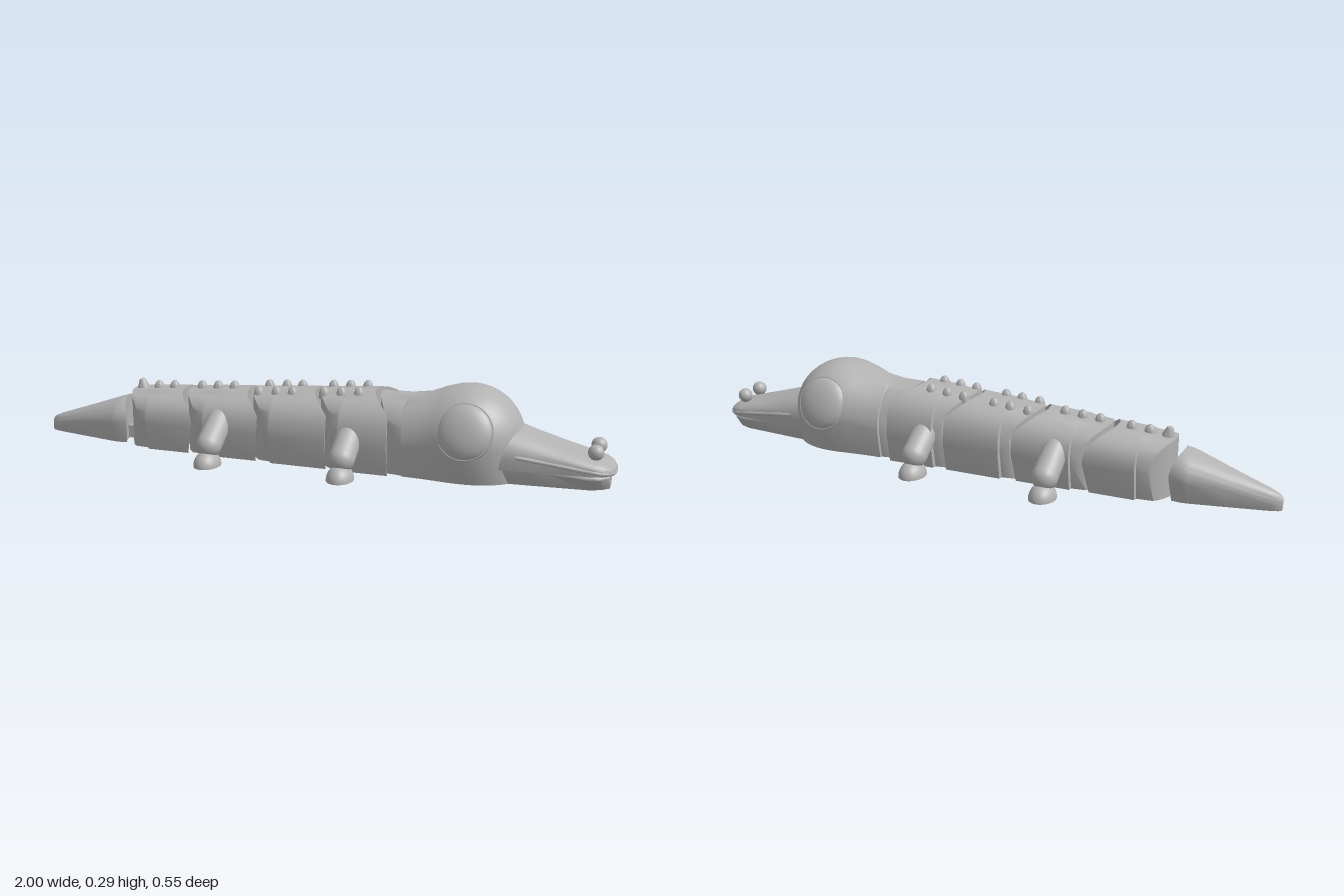
import * as THREE from 'three';
import { toCreasedNormals, mergeGeometries } from 'three/addons/utils/BufferGeometryUtils.js';

const grey = new THREE.MeshStandardMaterial({ color: 0xb2b2b2, side: THREE.DoubleSide });
grey.name = 'plain grey';

function add(parent, name, geometry, x = 0, y = 0, z = 0) {
  const mesh = new THREE.Mesh(geometry, grey);
  mesh.name = name;
  mesh.position.set(x, y, z);
  parent.add(mesh);
  return mesh;
}

// Distance an end bends forward at z, for an end that is an arc in plan
const bend = (r, z) => {
  if (!r) return 0;
  const c = Math.min(Math.abs(z), r * 0.86);
  return r - Math.sqrt(r * r - c * c);
};

// Loft along x. Station: x, half width, base half width, top, widest height
function loft(stations, { rear = 0, front = 0, power = 0.75, floor = 0, hole = null } = {}) {
  const K = 24, n = K + 2, N = 2 * n, last = stations.length - 1;
  const loops = stations.map(([x, w, b, h, mid], s) => {
    const r = s === 0 ? rear : s === last ? front : 0;
    const top = [[-b, floor]];
    for (let k = 0; k <= K; k++) {
      const a = Math.PI * k / K, c = Math.cos(a), v = Math.max(0, Math.sin(a));
      top.push([-w * Math.sign(c) * Math.abs(c) ** power, mid + (h - mid) * v ** power]);
    }
    top.push([b, floor]);
    const base = top.slice(1, -1).reverse().map(([z]) => [b * 0.995 * z / w, floor]);
    return [...top, ...base].map(([z, y]) => [x + bend(r, z), y, z]);
  });
  const index = [], at = (s, i) => s * N + (i % N);
  for (let s = 0; s < last; s++) {
    for (let i = 0; i < (hole ? n : N); i++) {
      const a = at(s, i), b = at(s, i + 1), c = at(s + 1, i), d = at(s + 1, i + 1);
      index.push(a, b, d, a, d, c);
    }
  }
  for (let i = 0; i < n; i++) {
    const cap = s => [at(s, i), at(s, i + 1), at(s, N - i - 1), at(s, N - i)];
    const [a, b, c, d] = cap(last), [e, f, g, h] = cap(0);
    index.push(a, b, c, a, c, d, e, g, f, e, h, g);
  }
  const geo = new THREE.BufferGeometry();
  geo.setAttribute('position', new THREE.Float32BufferAttribute(loops.flat(2), 3));
  geo.setIndex(index);
  const shell = toCreasedNormals(geo, 0.6);
  if (!hole) return shell;

  // Flat belly with a round opening
  const edge = loop => [loop[0], ...loop.slice(n + 1).reverse(), loop[n]];
  const inner = loops.slice(1, -1);
  const outline = [...edge(loops[0]), ...inner.map(l => l[n]),
    ...edge(loops[last]).reverse(), ...inner.map(l => l[0]).reverse()];
  const shape = new THREE.Shape(outline.map(p => new THREE.Vector2(p[0], p[2])));
  shape.holes.push(new THREE.Path().absarc(hole, 0, 0.06, 0, Math.PI * 2, true));
  const belly = new THREE.ShapeGeometry(shape, 24).rotateX(Math.PI / 2).toNonIndexed();
  belly.deleteAttribute('uv');
  return mergeGeometries([shell, belly]);
}

const lathe = (points, sides = 32) =>
  toCreasedNormals(new THREE.LatheGeometry(points.map(p => new THREE.Vector2(...p)), sides), 0.6);

const backHeight = x => 0.235 + 0.075 * x;

// Pivot under the rear of a segment, linked to the piece behind it
function addHinge(parent, rear) {
  const x = rear + 0.105;
  add(parent, 'hingeSocket', lathe([[0.06, 0], [0.06, 0.06], [0, 0.06]]), x);
  add(parent, 'hingeRing', lathe([[0.026, 0.003], [0.042, 0.003], [0.042, 0.06], [0.026, 0.06], [0.026, 0.003]]), x);
  add(parent, 'hingeLink', new THREE.BoxGeometry(0.12, 0.044, 0.045), x - 0.1, 0.026, 0);
}

function addLegs(parent, x) {
  for (const side of [1, -1]) {
    const leg = new THREE.Group();
    leg.name = side > 0 ? 'leftLeg' : 'rightLeg';
    const from = new THREE.Vector3(0, 0.125, side * 0.11), to = new THREE.Vector3(0, 0.065, side * 0.2);
    const limb = add(leg, 'limb', new THREE.CapsuleGeometry(0.043, from.distanceTo(to), 10, 24));
    limb.position.copy(from).lerp(to, 0.5);
    limb.quaternion.setFromUnitVectors(new THREE.Vector3(0, 1, 0), to.clone().sub(from).normalize());
    const foot = new THREE.SphereGeometry(1, 28, 12, 0, Math.PI * 2, 0, Math.PI / 2);
    add(leg, 'foot', foot.scale(0.044, 0.05, 0.057), 0, 0, side * 0.216);
    add(leg, 'sole', new THREE.CircleGeometry(1, 28).rotateX(Math.PI / 2).scale(0.044, 1, 0.057), 0, 0.001, side * 0.216);
    leg.position.x = x;
    parent.add(leg);
  }
}

export function createModel() {
  const model = new THREE.Group();
  model.name = 'jointedReptile';

  // Tail
  add(model, 'tail', loft([
    [-1, 0.008, 0.006, 0.04, 0.018], [-0.99, 0.018, 0.014, 0.052, 0.02], [-0.965, 0.028, 0.022, 0.063, 0.025],
    [-0.83, 0.062, 0.05, 0.108, 0.05], [-0.72, 0.09, 0.072, 0.146, 0.07], [-0.7, 0.092, 0.074, 0.152, 0.075],
    [-0.688, 0.084, 0.07, 0.155, 0.075],
  ], { front: 0.14, power: 0.9 }));

  // Body segments: rear, front, half width
  const segments = [[-0.66, -0.465, 0.13], [-0.445, -0.225, 0.138], [-0.205, 0.015, 0.145], [0.035, 0.222, 0.15]];
  segments.forEach(([rear, front, w], i) => {
    const group = new THREE.Group();
    group.name = 'bodySegment' + (i + 1);
    const step = rear + 0.095, mid = 0.095;
    add(group, 'shell', loft([
      [rear, w * 0.85, w * 0.74, backHeight(rear), mid],
      [step, w * 0.9, w * 0.78, backHeight(step), mid],
      [step + 0.002, w, w * 0.88, backHeight(step), mid],
      [front, w, w * 0.88, backHeight(front), mid],
    ], { rear: 0.135, front: 0.15, hole: rear + 0.105 }));
    addHinge(group, rear);
    if (i % 2) addLegs(group, i === 1 ? -0.295 : 0.165);
    model.add(group);
  });

  // Back studs: one row at the rear, two rows further forward
  const stud = lathe([[0.018, -0.012], [0.017, 0.006], [0.013, 0.018], [0.006, 0.025], [0, 0.026]], 16);
  for (const x of [-0.57, -0.51, -0.405, -0.345, -0.285]) add(model, 'backStud', stud, x, backHeight(x) - 0.002);
  for (const x of [-0.175, -0.112, -0.055, 0.055, 0.115, 0.175]) {
    for (const z of [0.05, -0.05]) add(model, 'backStud', stud, x, backHeight(x) - 0.009, z);
  }
  const horn = add(model, 'rearHorn', lathe([[0.026, -0.02], [0.02, 0.01], [0.01, 0.034], [0, 0.038]], 16), -0.63, 0.182);
  horn.rotation.z = 0.15;

  // Head: neck blending into a round cranium
  const head = new THREE.Group();
  head.name = 'head';
  const skull = [
    [0.24, 0.118, 0.105, 0.247, 0.1], [0.338, 0.128, 0.112, 0.248, 0.1], [0.34, 0.137, 0.12, 0.248, 0.1],
    [0.4, 0.143, 0.123, 0.256, 0.11], [0.45, 0.158, 0.128, 0.276, 0.12], [0.5, 0.171, 0.134, 0.29, 0.12],
  ];
  for (let i = 0; i <= 10; i++) {
    const a = i / 10 * 1.5, c = Math.cos(a);
    skull.push([0.535 + 0.175 * Math.sin(a), 0.175 * c, 0.135 * c, 0.12 + 0.173 * c, 0.12]);
  }
  add(head, 'cranium', loft(skull, { rear: 0.135, power: 0.95, hole: 0.345 }));
  addHinge(head, 0.24);

  // Snout: upper and lower jaws
  add(head, 'upperJaw', loft([
    [0.6, 0.126, 0.12, 0.195, 0.09], [0.68, 0.117, 0.112, 0.178, 0.088], [0.75, 0.105, 0.102, 0.155, 0.082],
    [0.85, 0.097, 0.094, 0.125, 0.075], [0.93, 0.092, 0.089, 0.102, 0.07], [0.965, 0.083, 0.08, 0.092, 0.066],
    [0.985, 0.066, 0.062, 0.082, 0.062], [0.997, 0.035, 0.03, 0.07, 0.06],
  ], { floor: 0.052, power: 0.9 }));
  add(head, 'lowerJaw', loft([
    [0.6, 0.118, 0.085, 0.09, 0.06], [0.7, 0.106, 0.078, 0.085, 0.06], [0.8, 0.096, 0.07, 0.075, 0.05],
    [0.92, 0.086, 0.06, 0.058, 0.04], [0.96, 0.075, 0.045, 0.054, 0.04], [0.983, 0.05, 0.02, 0.05, 0.042],
  ], { power: 0.6 }));
  const half = [[0.7, 0.097, 0.11], [0.8, 0.083, 0.098], [0.9, 0.07, 0.091], [0.96, 0.062, 0.08], [0.987, 0.057, 0.05]];
  const lipPath = [...half, [0.995, 0.055, 0], ...half.slice().reverse().map(([x, y, z]) => [x, y, -z])];
  const lip = new THREE.CatmullRomCurve3(lipPath.map(p => new THREE.Vector3(...p)));
  add(head, 'lip', new THREE.TubeGeometry(lip, 60, 0.007, 8));

  for (const side of [1, -1]) {
    // Small bumps on the snout tip
    add(head, 'snoutBump', new THREE.SphereGeometry(0.025, 24, 16), 0.937, 0.119, side * 0.044);
    // Round cheek discs following the skull
    const disc = new THREE.Group();
    disc.name = side > 0 ? 'leftSideDisc' : 'rightSideDisc';
    add(disc, 'rim', new THREE.CylinderGeometry(0.09, 0.09, 0.016, 48).rotateX(Math.PI / 2));
    add(disc, 'dome', new THREE.SphereGeometry(1, 40, 24).scale(0.089, 0.089, 0.036));
    disc.position.set(0.545, 0.172, side * 0.139);
    disc.rotation.x = -side * 0.353;
    head.add(disc);
  }
  model.add(head);
  return model;
}
